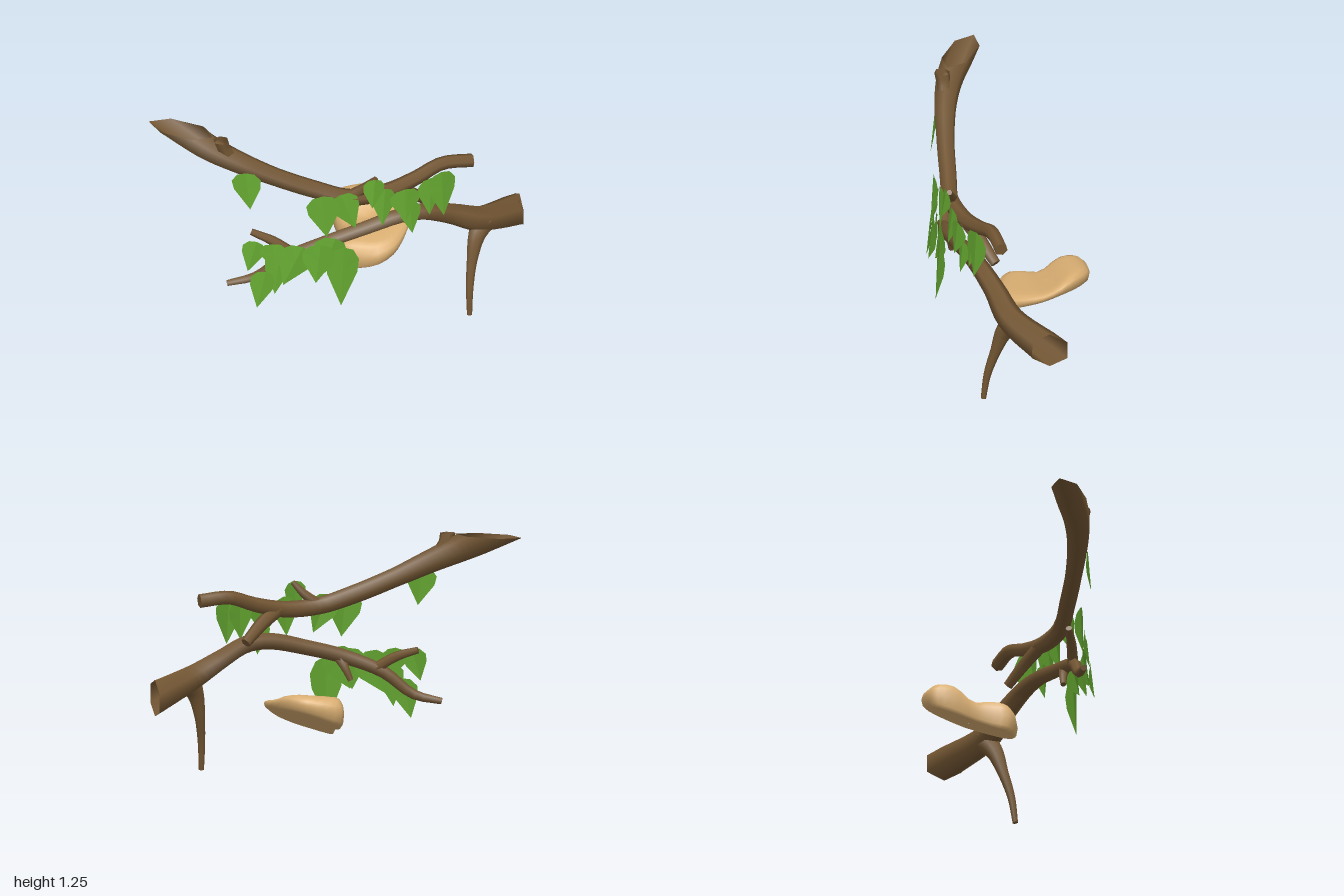
import * as THREE from 'three';
import { mergeGeometries } from 'three/addons/utils/BufferGeometryUtils.js';

const bark = new THREE.MeshStandardMaterial({ color: 0x735633, side: THREE.DoubleSide });
bark.name = 'brown bark';
const green = new THREE.MeshStandardMaterial({ color: 0x64a630, side: THREE.DoubleSide, flatShading: true });
green.name = 'leaf green';
const tan = new THREE.MeshStandardMaterial({ color: 0xd9ae72 });
tan.name = 'pale tan';

// Tapered tube through [x, y, z, radius] points; cut = [axis, value] saws its open start off along a plane
function branch(name, pts, sides = 6, cut = null) {
  const curve = new THREE.CatmullRomCurve3(pts.map(p => new THREE.Vector3(p[0], p[1], p[2])));
  const seg = (pts.length - 1) * 4;
  const frames = curve.computeFrenetFrames(seg, false);
  const radius = u => {
    const k = curve.getUtoTmapping(u) * (pts.length - 1);
    const i = Math.min(Math.floor(k), pts.length - 2);
    return THREE.MathUtils.lerp(pts[i][3], pts[i + 1][3], k - i);
  };

  const tube = new THREE.TubeGeometry(curve, seg, 1, sides, false);
  const pos = tube.attributes.position;
  const v = new THREE.Vector3();
  for (let i = 0; i < pos.count; i++) {
    const ring = Math.floor(i / (sides + 1));
    const c = curve.getPointAt(ring / seg);
    v.fromBufferAttribute(pos, i).sub(c).multiplyScalar(radius(ring / seg)).add(c);
    if (cut && ring < seg / 2) {
      const [axis, value] = cut;
      const T = frames.tangents[ring];
      if (ring === 0 || v[axis] > value) v.addScaledVector(T, (value - v[axis]) / T[axis]);
    }
    pos.setXYZ(i, v.x, v.y, v.z);
  }

  // Blunt cap on the far end
  const T = frames.tangents[seg], N = frames.normals[seg];
  const cap = new THREE.CircleGeometry(radius(1), sides);
  cap.applyMatrix4(new THREE.Matrix4().makeBasis(N, T.clone().cross(N), T).setPosition(curve.getPointAt(1)));
  const mesh = new THREE.Mesh(mergeGeometries([tube, cap]), bark);
  mesh.name = name;
  return mesh;
}

// Pointed leaf, slightly folded along its midrib, hanging from (x, y) to tip (tx, ty)
function leaf([x, y, tx, ty, width], depth) {
  const bow = px => depth - 0.3 * px * px;
  const dir = new THREE.Vector2(tx - x, ty - y);
  const side = new THREE.Vector2(-dir.y, dir.x).normalize();
  const point = (s, t) => {
    const px = x + dir.x * t + side.x * s * width / 2;
    return [px, y + dir.y * t + side.y * s * width / 2, bow(px) + 0.02 * t - 0.012 * Math.abs(s)];
  };
  const rim = [[0, 0], [0.6, 0.06], [1, 0.24], [0.92, 0.46], [0, 1]];
  const out = [];
  for (const s of [-1, 1]) {
    for (let i = 0; i < rim.length - 1; i++) {
      const a = point(0, 0.4);
      const b = point(rim[i][0] * s, rim[i][1]);
      const c = point(rim[i + 1][0] * s, rim[i + 1][1]);
      out.push(...a, ...(s < 0 ? b : c), ...(s < 0 ? c : b));
    }
  }
  const g = new THREE.BufferGeometry();
  g.setAttribute('position', new THREE.Float32BufferAttribute(out, 3));
  g.computeVertexNormals();
  const mesh = new THREE.Mesh(g, green);
  mesh.name = 'leaf';
  return mesh;
}

// Tilted shelf with two humps and a groove that fades towards its thin edge
function shelf() {
  const outline = new THREE.CatmullRomCurve3([
    [0.07, -0.4], [0.15, -0.41], [0.26, -0.39], [0.34, -0.31], [0.39, -0.21], [0.42, -0.1], [0.4, -0.03],
    [0.35, 0.05], [0.29, 0.11], [0.2, 0.135], [0.1, 0.1], [0.02, 0.06], [-0.01, 0.01], [0.02, -0.06],
    [0.04, -0.15], [0.03, -0.25], [0.04, -0.34],
  ].map(([x, z]) => new THREE.Vector3(x, 0, z)), true);
  const bell = (z, c, w) => Math.exp(-(((z - c) / w) ** 2));
  const under = (x, z) => 0.215 + 0.4 * Math.max(x - 0.02, 0) - 0.22 * (z - 0.02);
  const over = (x, z) => 0.385 + 0.1 * x - 0.17 * z + 0.03 * bell(z, -0.29, 0.1)
    - 0.04 * (1 - x / 0.45) * bell(z, -0.17, 0.07);
  // [outline scale, blend from underside to top]
  const rings = [[0.002, 0], [0.5, 0], [0.9, 0], [0.97, 0.15], [1, 0.5], [0.97, 0.75], [0.88, 0.94],
    [0.75, 1], [0.6, 1], [0.45, 1], [0.3, 1], [0.15, 1], [0.002, 1]];
  const n = 34, cx = 0.2, cz = -0.14, pos = [], index = [];
  rings.forEach(([s, h], i) => {
    for (let j = 0; j < n; j++) {
      const p = outline.getPoint(j / n);
      const x = cx + (p.x - cx) * s, z = cz + (p.z - cz) * s;
      pos.push(x, THREE.MathUtils.lerp(under(x, z), over(x, z), h), z);
      if (i === rings.length - 1) continue;
      const a = i * n + j, b = i * n + (j + 1) % n;
      index.push(a, a + n, b, b, a + n, b + n);
    }
  });
  const g = new THREE.BufferGeometry();
  g.setAttribute('position', new THREE.Float32BufferAttribute(pos, 3));
  g.setIndex(index);
  g.computeVertexNormals();
  const mesh = new THREE.Mesh(g, tan);
  mesh.name = 'shelf';
  return mesh;
}

export function createModel() {
  const model = new THREE.Group();
  model.name = 'branches';

  // Upper bough with its knob and twigs
  model.add(
    branch('upperBough', [[-0.86, 1.25, 0.05, 0.083], [-0.74, 1.18, 0.135, 0.075], [-0.6, 1.11, 0.195, 0.064],
      [-0.4, 1.015, 0.245, 0.052], [-0.18, 0.925, 0.285, 0.05], [0, 0.868, 0.313, 0.047], [0.2, 0.86, 0.29, 0.045],
      [0.38, 0.9, 0.25, 0.04], [0.53, 0.95, 0.215, 0.037], [0.7, 0.94, 0.205, 0.037]], 6, ['y', 1.253]),
    branch('knob', [[-0.68, 1.25, 0.195, 0.042], [-0.665, 1.2, 0.19, 0.038], [-0.62, 1.12, 0.19, 0.045]], 6, ['y', 1.253]),
    branch('upperTwig', [[0, 0.87, 0.31, 0.035], [0.08, 0.93, 0.33, 0.027], [0.14, 0.995, 0.355, 0.016]]),
    branch('backTwig', [[0.24, 0.865, 0.285, 0.042], [0.34, 0.8, 0.235, 0.038], [0.45, 0.705, 0.175, 0.029]]),
  );

  // Lower bough with its fork and twigs
  model.add(
    branch('lowerBough', [[1, 0.455, 0.01, 0.096], [0.75, 0.53, 0.165, 0.074], [0.58, 0.615, 0.21, 0.058],
      [0.42, 0.685, 0.26, 0.05], [0.28, 0.69, 0.285, 0.046], [0.08, 0.645, 0.3, 0.042], [-0.12, 0.59, 0.3, 0.04],
      [-0.34, 0.5, 0.27, 0.034], [-0.5, 0.375, 0.235, 0.027], [-0.65, 0.335, 0.21, 0.018]], 6, ['x', 1]),
    branch('forkTwig', [[-0.3, 0.52, 0.275, 0.03], [-0.4, 0.585, 0.23, 0.027], [-0.51, 0.625, 0.175, 0.018]]),
    branch('shortTwig', [[-0.1, 0.59, 0.3, 0.032], [-0.13, 0.53, 0.28, 0.024], [-0.16, 0.46, 0.27, 0.016]]),
    branch('hangingTwig', [[0.78, 0.52, 0.15, 0.072], [0.725, 0.44, 0.195, 0.048], [0.69, 0.3, 0.235, 0.029],
      [0.67, 0.15, 0.275, 0.021], [0.665, 0.005, 0.295, 0.015]], 8),
  );

  // Leaves as [top x, top y, tip x, tip y, width]
  const upper = [[-0.56, 1.07, -0.54, 0.85, 0.15], [-0.16, 0.93, -0.14, 0.68, 0.18], [-0.06, 0.92, 0.02, 0.71, 0.16],
    [0.13, 1, 0.11, 0.83, 0.12], [0.19, 0.92, 0.17, 0.7, 0.13], [0.3, 0.9, 0.3, 0.71, 0.17],
    [0.33, 0.8, 0.34, 0.61, 0.12], [0.51, 0.95, 0.52, 0.68, 0.16], [0.45, 0.92, 0.44, 0.7, 0.14]];
  const lower = [[-0.5, 0.62, -0.55, 0.44, 0.12], [-0.42, 0.62, -0.41, 0.46, 0.14], [-0.46, 0.45, -0.51, 0.23, 0.13],
    [-0.38, 0.55, -0.41, 0.3, 0.14], [-0.26, 0.6, -0.37, 0.37, 0.19], [-0.17, 0.62, -0.2, 0.39, 0.18],
    [-0.08, 0.63, -0.18, 0.4, 0.19], [-0.04, 0.58, -0.06, 0.22, 0.18]];
  const leaves = new THREE.Group();
  leaves.name = 'leaves';
  upper.forEach((l, i) => leaves.add(leaf(l, 0.36 + (i % 2) * 0.015)));
  lower.forEach((l, i) => leaves.add(leaf(l, 0.345 + (i % 3) * 0.018)));
  model.add(leaves, shelf());
  return model;
}
